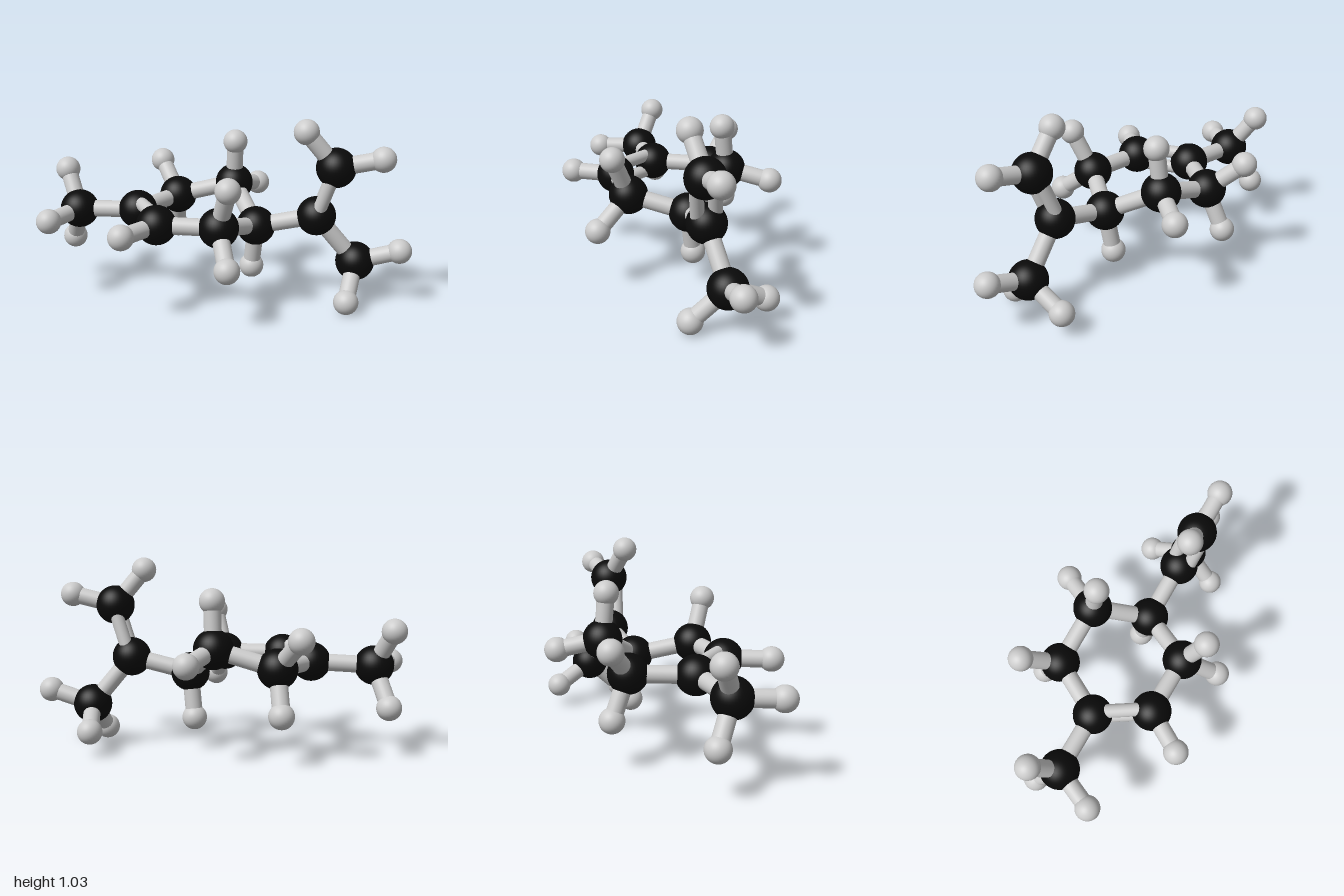
import * as THREE from 'three';

const CARBON_R = 0.105, HYDROGEN_R = 0.067, SINGLE_R = 0.046, DOUBLE_R = 0.036, DOUBLE_GAP = 0.047;

// Carbon atoms, each with the hydrogens attached to it
const CARBONS = {
  ringMethyl: { at: [-0.835, 0.477, 0], h: [[-0.928, 0.672, -0.111], [-0.937, 0.467, 0.224], [-0.91, 0.271, -0.122]] },
  ringEnd: { at: [-0.5, 0.49, 0.005], h: [] },
  ringFrontRight: { at: [-0.335, 0.495, 0.27], h: [[-0.467, 0.494, 0.485]] },
  ringFrontLeft: { at: [-0.006, 0.498, 0.278], h: [[0.057, 0.726, 0.376], [0.066, 0.339, 0.467]] },
  ringHub: { at: [0.152, 0.424, -0.008], h: [[0.125, 0.179, -0.043]] },
  ringBackLeft: { at: [-0.006, 0.587, -0.273], h: [[0.005, 0.831, -0.243], [0.104, 0.532, -0.487]] },
  ringBackRight: { at: [-0.335, 0.495, -0.29], h: [[-0.457, 0.658, -0.442], [-0.362, 0.273, -0.394]] },
  branch: { at: [0.478, 0.5, 0.003], h: [] },
  branchUpper: { at: [0.575, 0.78, 0.046], h: [[0.419, 0.97, 0.074], [0.815, 0.835, 0.054]] },
  branchLower: { at: [0.692, 0.24, -0.036], h: [[0.927, 0.312, -0.024], [0.655, 0.07, 0.144], [0.655, 0.133, -0.257]] },
};

const SINGLE_BONDS = [
  ['ringMethyl', 'ringEnd'], ['ringFrontRight', 'ringFrontLeft'], ['ringFrontLeft', 'ringHub'],
  ['ringHub', 'ringBackLeft'], ['ringBackLeft', 'ringBackRight'], ['ringBackRight', 'ringEnd'],
  ['ringHub', 'branch'], ['branch', 'branchLower'],
];

// Double bonds, with the direction in which the two rods are spread apart
const DOUBLE_BONDS = [
  ['ringEnd', 'ringFrontRight', [0, 1, 0]],
  ['branch', 'branchUpper', [0, 0, 1]],
];

export function createModel() {
  const model = new THREE.Group();
  model.name = 'molecule';
  const grey = new THREE.MeshStandardMaterial({ color: 0xcccccc });
  const black = new THREE.MeshStandardMaterial({ color: 0x0a0a0a });
  const carbonGeo = new THREE.SphereGeometry(CARBON_R, 40, 24);
  const hydrogenGeo = new THREE.SphereGeometry(HYDROGEN_R, 32, 20);
  const up = new THREE.Vector3(0, 1, 0);

  const addAtom = (name, geometry, material, at) => {
    const atom = new THREE.Mesh(geometry, material);
    atom.name = name;
    atom.position.fromArray(at);
    model.add(atom);
  };

  // Cylinder between two points, optionally shifted sideways
  const addRod = (name, from, to, radius, shift = new THREE.Vector3()) => {
    const a = new THREE.Vector3(...from), b = new THREE.Vector3(...to);
    const rod = new THREE.Mesh(new THREE.CylinderGeometry(radius, radius, a.distanceTo(b), 28, 1, true), grey);
    rod.name = name;
    rod.position.lerpVectors(a, b, 0.5).add(shift);
    rod.quaternion.setFromUnitVectors(up, b.sub(a).normalize());
    model.add(rod);
  };

  // Atoms and the bonds to the hydrogens
  for (const [name, { at, h }] of Object.entries(CARBONS)) {
    addAtom(`${name}Carbon`, carbonGeo, black, at);
    h.forEach((end, i) => {
      addAtom(`${name}Hydrogen${i + 1}`, hydrogenGeo, grey, end);
      addRod(`${name}HydrogenBond${i + 1}`, at, end, SINGLE_R);
    });
  }

  // Single bonds between carbons
  for (const [a, b] of SINGLE_BONDS) addRod(`${a}SingleBond`, CARBONS[a].at, CARBONS[b].at, SINGLE_R);

  // Double bonds: two thinner parallel rods
  for (const [a, b, spread] of DOUBLE_BONDS) {
    const from = CARBONS[a].at, to = CARBONS[b].at;
    const axis = new THREE.Vector3(...to).sub(new THREE.Vector3(...from)).normalize();
    const side = new THREE.Vector3(...spread).projectOnPlane(axis).setLength(DOUBLE_GAP);
    for (const s of [1, -1]) addRod(`${a}DoubleBond`, from, to, DOUBLE_R, side.clone().multiplyScalar(s));
  }
  return model;
}
